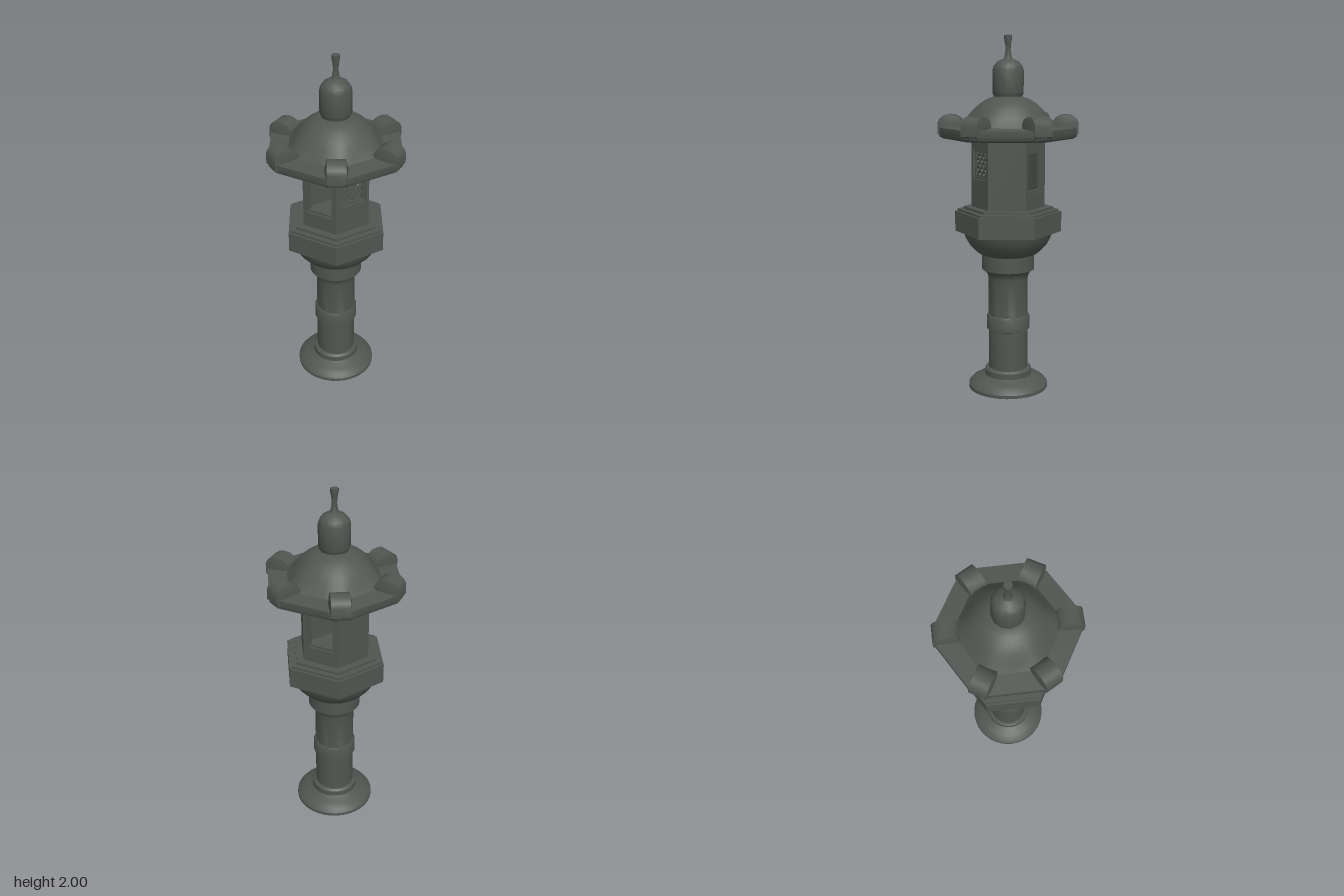
import * as THREE from 'three';
import { toCreasedNormals } from 'three/addons/utils/BufferGeometryUtils.js';

const stone = new THREE.MeshStandardMaterial({ color: 0x515651 });
stone.name = 'dark stone';

const CREASE = 0.6;

function part(name, geometry, parent) {
  const mesh = new THREE.Mesh(geometry, stone);
  mesh.name = name;
  parent.add(mesh);
  return mesh;
}

function lathe(points, segments) {
  const profile = points.map(([r, y]) => new THREE.Vector2(r, y));
  return toCreasedNormals(new THREE.LatheGeometry(profile, segments), CREASE);
}

// Skin between closed rings of points, each given counterclockwise
function loft(rings) {
  const n = rings[0].length;
  const index = [];
  for (let i = 0; i < rings.length - 1; i++) {
    for (let j = 0; j < n; j++) {
      const a = i * n + j, b = i * n + (j + 1) % n;
      index.push(a, b, b + n, a, b + n, a + n);
    }
  }
  const geometry = new THREE.BufferGeometry().setFromPoints(rings.flat());
  geometry.setIndex(index);
  return toCreasedNormals(geometry, CREASE);
}

// Hexagonal slab with corners on the x axis
function hexSlab(radius, y0, y1) {
  const g = new THREE.CylinderGeometry(radius, radius, y1 - y0, 6, 1, false, Math.PI / 6);
  g.translate(0, (y0 + y1) / 2, 0);
  return toCreasedNormals(g, 0.3);
}

// Flat panel in the xy plane with a rectangular opening
function panel(outer, hole, depth) {
  const rect = (p, [x0, y0, x1, y1]) => {
    p.moveTo(x0, y0); p.lineTo(x1, y0); p.lineTo(x1, y1); p.lineTo(x0, y1); p.closePath();
    return p;
  };
  const shape = rect(new THREE.Shape(), outer);
  if (hole) shape.holes.push(rect(new THREE.Path(), hole));
  return new THREE.ExtrudeGeometry(shape, { depth, bevelEnabled: false });
}

// Crossed diagonal bars filling an opening
function lattice(hw, hh, cy, z) {
  const group = new THREE.Group();
  group.name = 'lattice';
  for (const s of [1, -1]) {
    for (let k = -2; k <= 2; k++) {
      const c = k * 0.047;
      const x0 = Math.max(-hw, -hh - c), x1 = Math.min(hw, hh - c);
      const mid = (x0 + x1) / 2;
      const bar = part('latticeBar', new THREE.BoxGeometry((x1 - x0) * Math.SQRT2 + 0.01, 0.012, 0.012), group);
      bar.position.set(s * mid, cy + mid + c, z);
      bar.rotation.z = s * Math.PI / 4;
    }
  }
  return group;
}

// Ring of the roof: a clipped hexagon blended towards a circle
function roofRing([apothem, clip, y, hexness]) {
  const ring = [];
  for (let k = 0; k < 6; k++) {
    for (const offset of [-5.5, 5.5, 17.75, 30, 42.25]) {
      const fromCorner = THREE.MathUtils.degToRad(offset);
      const angle = fromCorner + Math.PI / 6 + k * Math.PI / 3;
      const hex = Math.min(apothem / Math.cos(Math.PI / 6 - Math.abs(fromCorner)), clip / Math.cos(fromCorner));
      const r = THREE.MathUtils.lerp(apothem, hex, hexness);
      ring.push(new THREE.Vector3(Math.sin(angle) * r, y, Math.cos(angle) * r));
    }
  }
  return ring;
}

// Curled roof knob lying along +z, with pointed cheeks
function knobGeometry() {
  const profile = [
    [0.365, 1.445], [0.24, 1.49], [0.248, 1.525], [0.262, 1.55], [0.29, 1.567],
    [0.325, 1.572], [0.355, 1.566], [0.378, 1.548], [0.388, 1.525], [0.388, 1.47],
  ];
  const ring = (x, size) => profile.map(([z, y]) => new THREE.Vector3(
    x, THREE.MathUtils.lerp(1.525, y, size), THREE.MathUtils.lerp(0.325, z, size)));
  return loft([ring(-0.06, 0.001), ring(-0.05, 1), ring(0.05, 1), ring(0.06, 0.001)]);
}

export function createModel() {
  const model = new THREE.Group();
  model.name = 'stoneLantern';

  // Round pedestal: hollow foot, banded column, collar and bowl
  part('pedestal', lathe([
    [0, 0.06], [0.13, 0.06], [0.18, 0.035], [0.215, 0], [0.228, 0], [0.228, 0.018], [0.212, 0.038],
    [0.18, 0.057], [0.14, 0.07], [0.133, 0.075], [0.133, 0.108], [0.122, 0.118], [0.112, 0.118],
    [0.112, 0.345], [0.123, 0.35], [0.123, 0.42], [0.117, 0.432], [0.112, 0.432], [0.112, 0.645],
    [0.118, 0.67], [0.132, 0.688], [0.148, 0.698], [0.148, 0.785], [0.165, 0.792], [0.19, 0.812],
    [0.22, 0.845], [0.241, 0.883], [0.254, 0.92],
  ], 36), model);

  // Stepped hexagonal platform
  part('platform', hexSlab(0.3, 0.915, 1.029), model);
  part('platformStep', hexSlab(0.285, 1.029, 1.042), model);
  part('platformTopStep', hexSlab(0.252, 1.042, 1.056), model);

  // Hexagonal light chamber: open front and back, lattices beside the front
  const chamber = new THREE.Group();
  chamber.name = 'lightChamber';
  model.add(chamber);
  const apothem = 0.178, half = 0.1027;
  const faces = ['open', 'lattice', 'solid', 'open', 'solid', 'lattice'];
  faces.forEach((kind, i) => {
    const side = new THREE.Group();
    side.name = kind + 'Side';
    side.rotation.y = i * Math.PI / 3;
    chamber.add(side);
    const bottom = kind === 'open' ? 1.145 : 1.215;
    const hole = kind === 'solid' ? null : [-0.08, bottom, 0.08, 1.375];
    part('wall', panel([-half, 1.05, half, 1.445], hole, 0.03), side).position.z = apothem - 0.03;
    if (!hole) return;
    const inner = [-0.068, bottom + 0.014, 0.068, 1.363];
    part('windowFrame', panel([-0.081, bottom - 0.001, 0.081, 1.376], inner, 0.018), side).position.z = apothem - 0.028;
    if (kind === 'lattice') {
      side.add(lattice(0.068, (inner[3] - inner[1]) / 2, (inner[1] + inner[3]) / 2, apothem - 0.02));
    }
  });

  // Roof: clipped hexagonal eaves rising into a round dome
  part('roof', loft([
    [0.001, 0.001, 1.44, 1], [0.328, 0.36, 1.44, 1], [0.345, 0.378, 1.45, 1], [0.352, 0.386, 1.468, 1],
    [0.352, 0.386, 1.5, 1], [0.25, 0.285, 1.508, 1], [0.235, 0.268, 1.525, 0.95], [0.212, 0.243, 1.56, 0.65],
    [0.185, 0.21, 1.6, 0.3], [0.152, 0.17, 1.633, 0.1], [0.12, 0.14, 1.654, 0], [0.08, 0.09, 1.668, 0],
    [0.001, 0.001, 1.672, 0],
  ].map(roofRing)), model);

  // Knobs on the six roof corners
  const knob = knobGeometry();
  for (let i = 0; i < 6; i++) {
    part('roofKnob', knob, model).rotation.y = Math.PI / 6 + i * Math.PI / 3;
  }

  // Finial with a thin flared spike
  part('finial', lathe([
    [0, 1.66], [0.078, 1.66], [0.08, 1.675], [0.086, 1.685], [0.086, 1.81], [0.079, 1.835],
    [0.062, 1.856], [0.04, 1.868], [0.024, 1.874],
  ], 12), model);
  part('spike', lathe([
    [0.026, 1.868], [0.02, 1.885], [0.014, 1.92], [0.016, 1.95], [0.022, 1.985], [0.022, 2], [0, 2],
  ], 12), model);

  return model;
}
